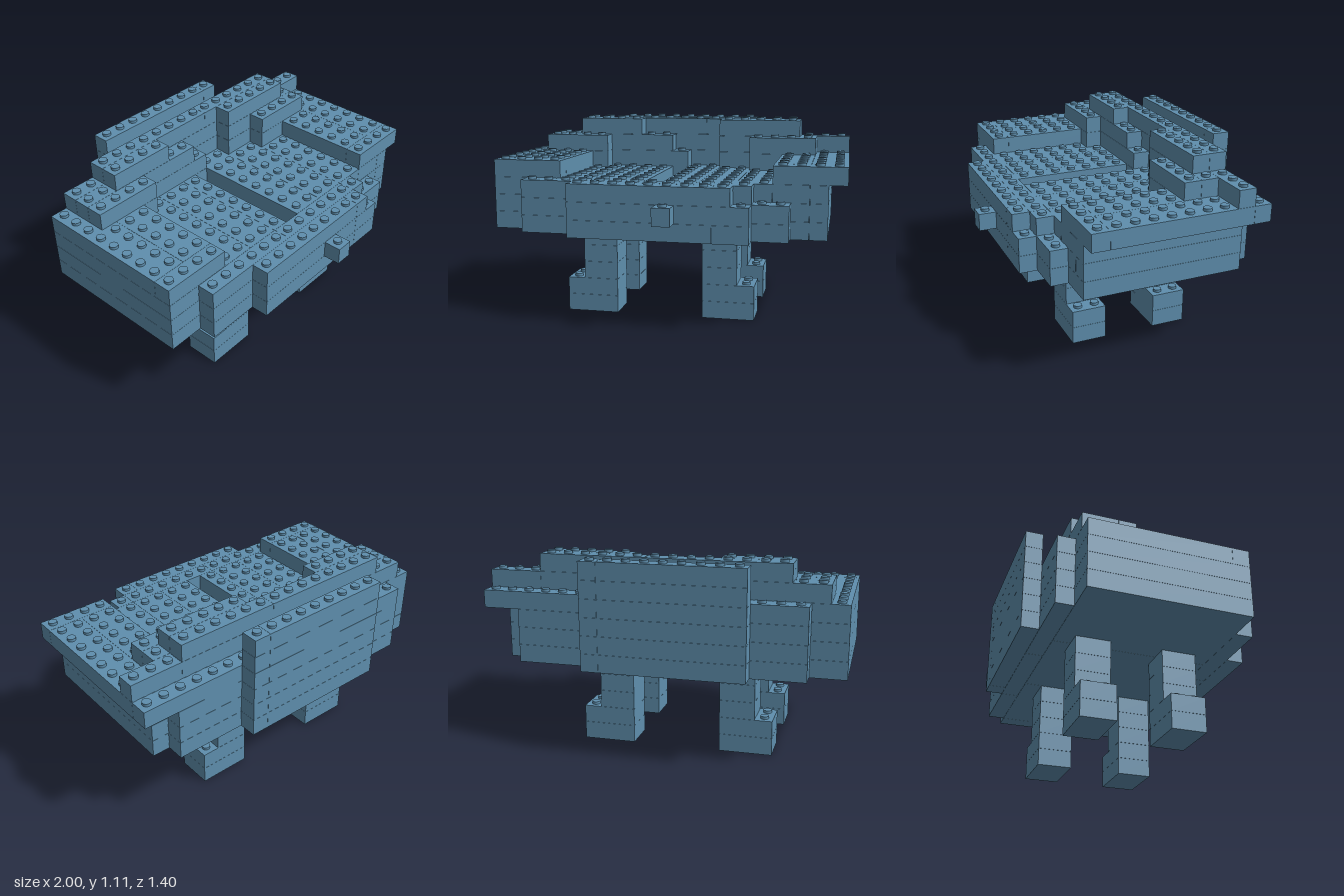
import * as THREE from 'three';
import { mergeGeometries } from 'three/addons/utils/BufferGeometryUtils.js';

const U = 0.1;      // one stud cell and one brick layer
const GAP = 0.001;  // hairline joint between bricks

export function createModel() {
  const model = new THREE.Group();
  model.name = 'brickModel';
  const blue = new THREE.MeshStandardMaterial({ color: 0x5f8fae });
  blue.name = 'sandBlue';

  const bricks = [];
  const filled = new Set();
  const key = (x, y, z) => `${x},${y},${z}`;

  // Fill a run of cells, one brick per layer, cut along x every `cut` cells
  function lay(name, y0, y1, z0, z1, x0, x1, cut = 6) {
    for (let y = y0; y < y1; y++)
      for (let x = x0; x < x1; x += cut) {
        const end = Math.min(x + cut, x1);
        bricks.push({ name, x0: x, x1: end, y, z0, z1 });
        for (let i = x; i < end; i++)
          for (let z = z0; z < z1; z++) filled.add(key(i, y, z));
      }
  }

  // Four legs, each with a foot reaching one cell outwards
  for (const z of [1, -4]) {
    lay('foot', 0, 2, z, z + 2, -6, -3);
    lay('foot', 0, 2, z, z + 2, 2, 5);
    lay('leg', 2, 5, z, z + 2, -5, -3);
    lay('leg', 2, 5, z, z + 2, 2, 4);
  }

  // Body: two solid layers, then a deck of strips with a narrow slot
  lay('bodyFloor', 5, 7, -5, 4, -10, 9);
  lay('deck', 7, 8, -5, 4, -10, -2, 2);
  lay('deck', 7, 8, -5, 4, -2, -1);
  lay('deck', 7, 8, -5, -3, -1, 0);
  lay('deck', 7, 8, -5, 4, 0, 9, 2);

  // Stepped front and rear rows
  lay('frontRow', 5, 7, 4, 5, -8, 7);
  lay('frontRow', 7, 8, 4, 5, -8, 5);
  lay('frontRow', 5, 7, 5, 6, -5, 5, 8);
  lay('frontRow', 7, 8, 5, 6, -5, 4, 8);
  lay('frontNub', 6, 7, 6, 7, 0, 1);
  lay('rearRow', 5, 8, -6, -5, -8, 8);
  lay('rearRow', 8, 9, -6, -5, -8, 10, 10);

  // Raised slabs on both sides
  for (const x of [-10, 6]) {
    lay('sideSlab', 8, 9, -5, 3, x, x + 4, 2);
    lay('sideSlab', 8, 9, 3, 4, x, x + 4);
  }

  // Terraces between the slabs and up to the crest
  lay('terrace', 8, 9, -5, -4, -6, 6);
  lay('terrace', 8, 9, -4, -3, -6, 0);
  lay('terrace', 8, 9, -4, -3, 2, 6);
  lay('terrace', 8, 9, -3, -2, -6, -5);
  lay('terrace', 8, 9, -3, -2, 4, 6);
  lay('terrace', 9, 10, -5, -4, -9, 10, 8);
  lay('terrace', 9, 10, -4, -3, -9, -1, 8);
  lay('terrace', 9, 10, -4, -3, 2, 8);
  lay('terrace', 9, 10, -3, -2, -9, -5);
  lay('terrace', 9, 10, -3, -2, 4, 8);
  lay('crest', 10, 11, -5, -4, -7, 7, 8);
  lay('crest', 10, 11, -4, -3, -7, -3);
  lay('crest', 10, 11, -4, -3, 2, 7);

  // Tall wall at the very back
  lay('backWall', 5, 11, -7, -6, -5, 4, 8);

  // Build each brick, with studs only where nothing sits on top
  const stud = new THREE.CylinderGeometry(0.024, 0.024, 0.018, 16);
  const parts = new Map();
  for (const { name, x0, x1, y, z0, z1 } of bricks) {
    if (!parts.has(name)) parts.set(name, []);
    const pieces = parts.get(name);
    const box = new THREE.BoxGeometry((x1 - x0) * U - GAP, U - GAP, (z1 - z0) * U - GAP);
    pieces.push(box.translate((x0 + x1) * U / 2, (y + 0.5) * U, (z0 + z1) * U / 2));
    for (let x = x0; x < x1; x++)
      for (let z = z0; z < z1; z++)
        if (!filled.has(key(x, y + 1, z)))
          pieces.push(stud.clone().translate((x + 0.5) * U, (y + 1) * U + 0.006, (z + 0.5) * U));
  }
  for (const [name, pieces] of parts) {
    const mesh = new THREE.Mesh(mergeGeometries(pieces), blue);
    mesh.name = name;
    model.add(mesh);
  }
  return model;
}
